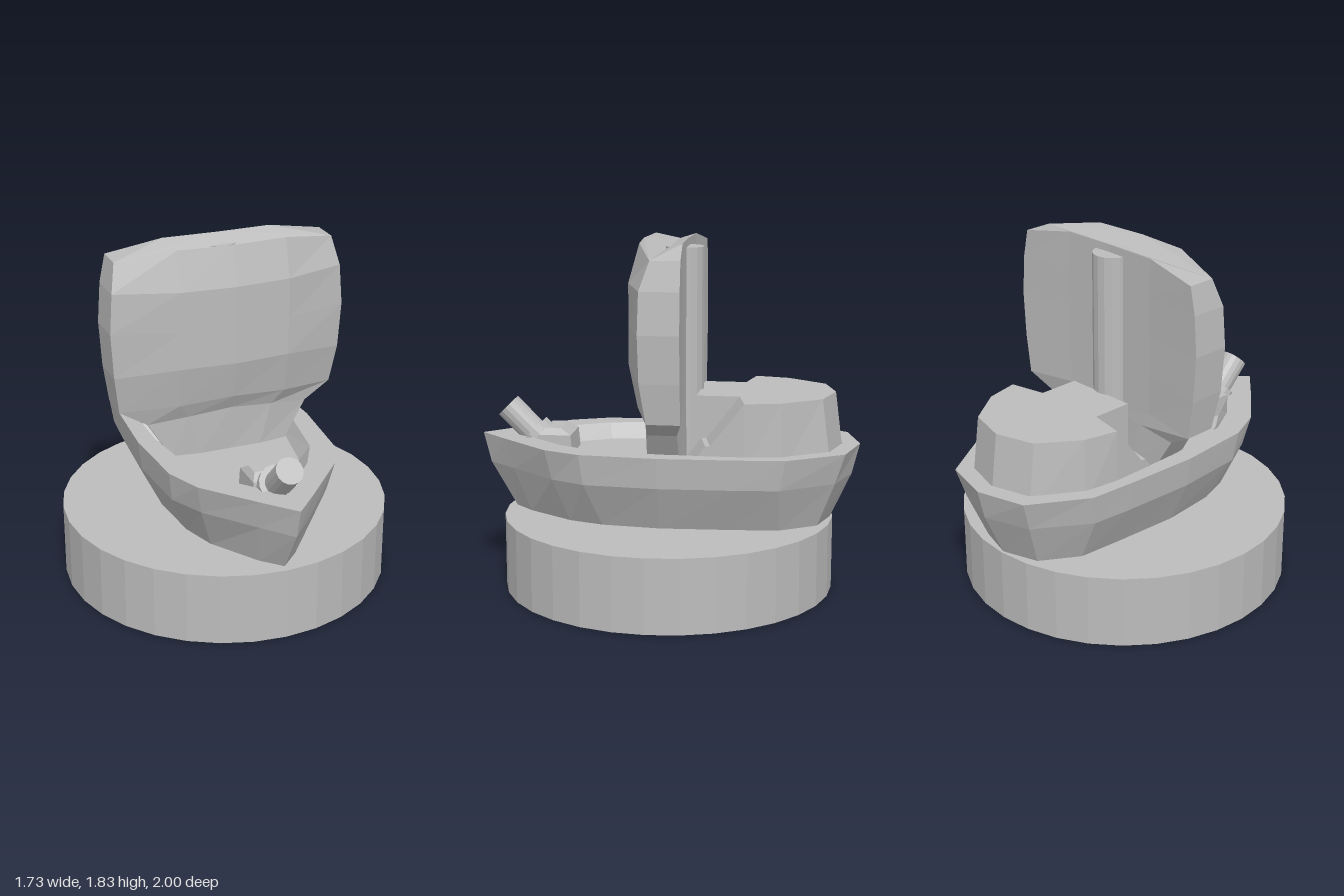
import * as THREE from 'three';

const grey = new THREE.MeshStandardMaterial({ color: 0xbcbcbc, flatShading: true });
grey.name = 'plain grey';

function add(group, name, geometry) {
  const mesh = new THREE.Mesh(geometry, grey);
  mesh.name = name;
  group.add(mesh);
  return mesh;
}

// Skin stacked rings of [x, y, z] (counter-clockwise from above) and cap both ends
function loft(rings) {
  const pos = [];
  const tri = (a, b, c) => pos.push(...a, ...b, ...c);
  for (let r = 0; r < rings.length - 1; r++) {
    const lo = rings[r], up = rings[r + 1];
    lo.forEach((p, i) => {
      const j = (i + 1) % lo.length;
      tri(p, lo[j], up[j]);
      tri(p, up[j], up[i]);
    });
  }
  const cap = (ring, up) => {
    const flat = ring.map(p => new THREE.Vector2(p[0], -p[2]));
    for (const [a, b, c] of THREE.ShapeUtils.triangulateShape(flat, [])) {
      const ccw = THREE.ShapeUtils.area([flat[a], flat[b], flat[c]]) > 0;
      if (ccw === up) tri(ring[a], ring[b], ring[c]);
      else tri(ring[a], ring[c], ring[b]);
    }
  };
  cap(rings[0], false);
  cap(rings[rings.length - 1], true);
  const g = new THREE.BufferGeometry();
  g.setAttribute('position', new THREE.Float32BufferAttribute(pos, 3));
  g.computeVertexNormals();
  return g;
}

// Full ring from the left half of a plan outline, listed from bow to stern
function planRing(y, half) {
  const left = half.map(([x, z]) => [x, y, z]);
  const right = half.filter(p => p[0] > 0).reverse().map(([x, z]) => [-x, y, z]);
  return [...left, ...right];
}

export function createModel() {
  const model = new THREE.Group();
  model.name = 'boatOnBase';

  const base = add(model, 'roundBase', new THREE.CylinderGeometry(0.865, 0.865, 0.385, 32));
  base.position.y = 0.1925;

  // Hull: outside up to the rim, across it and down to the deck
  add(model, 'hull', loft([
    planRing(0.38, [[0, 0.82], [0.1, 0.72], [0.26, 0.48], [0.32, 0.3], [0.35, 0], [0.33, -0.35], [0.31, -0.6], [0.19, -0.79], [0, -0.85]]),
    planRing(0.62, [[0, 0.96], [0.13, 0.81], [0.34, 0.56], [0.43, 0.38], [0.46, 0], [0.44, -0.4], [0.42, -0.61], [0.24, -0.88], [0, -0.96]]),
    planRing(0.78, [[0, 1], [0.14, 0.85], [0.37, 0.59], [0.45, 0.4], [0.48, 0], [0.46, -0.4], [0.44, -0.64], [0.26, -0.93], [0, -1]]),
    planRing(0.78, [[0, 0.82], [0.1, 0.7], [0.24, 0.54], [0.33, 0.37], [0.385, 0], [0.39, -0.42], [0.36, -0.61], [0.21, -0.85], [0, -0.91]]),
    planRing(0.7, [[0, 0.76], [0.08, 0.66], [0.2, 0.5], [0.28, 0.35], [0.34, 0], [0.37, -0.4], [0.35, -0.6], [0.2, -0.83], [0, -0.89]]),
  ]));

  // Stern cabin with a narrower front block
  add(model, 'sternCabin', loft([
    planRing(0.7, [[0.2, -0.17], [0.2, -0.39], [0.39, -0.43], [0.365, -0.615], [0.215, -0.855], [0, -0.915]]),
    planRing(1.05, [[0.2, -0.17], [0.2, -0.39], [0.39, -0.43], [0.35, -0.61], [0.21, -0.81], [0, -0.87]]),
  ]));

  // Sloped ramps with a small step on both sides of the front block
  const rampRows = [[0.7, -0.14], [0.83, -0.235], [0.83, -0.26], [1.05, -0.43]];
  for (const side of [1, -1]) {
    const rings = rampRows.map(([y, z]) => {
      const ring = [[0.2, z + 0.04], [0.39, z], [0.39, -0.43], [0.2, -0.39]]
        .map(([x, pz]) => [x * side, y, pz]);
      return side > 0 ? ring : ring.reverse();
    });
    add(model, side > 0 ? 'leftRamp' : 'rightRamp', loft(rings));
  }

  // Sail rows: y centre, y mid, y edge, half width, mid x, front z centre, mid, edge, back edge z
  const sailRows = [
    [0.7, 0.7, 0.7, 0.32, 0.17, 0.09, 0.09, 0.07, -0.1],
    [0.94, 0.92, 0.89, 0.44, 0.23, 0.1, 0.09, 0.05, -0.1],
    [1.02, 1.0, 0.975, 0.585, 0.29, 0.14, 0.12, 0.035, -0.135],
    [1.22, 1.22, 1.18, 0.615, 0.29, 0.185, 0.165, 0.065, -0.135],
    [1.42, 1.42, 1.42, 0.63, 0.29, 0.185, 0.165, 0.07, -0.135],
    [1.63, 1.63, 1.63, 0.615, 0.29, 0.185, 0.165, 0.065, -0.135],
    [1.83, 1.83, 1.775, 0.585, 0.29, 0.128, 0.108, 0.015, -0.135],
  ];
  add(model, 'sail', loft(sailRows.map(([yc, ym, ye, w, m, zc, zm, ze, zb]) => [
    [-w, ye, ze], [-m, ym, zm], [0, yc, zc], [m, ym, zm], [w, ye, ze],
    [w, ye, zb], [m, ym, -0.108], [0, yc, -0.1], [-m, ym, -0.108], [-w, ye, zb],
  ])));

  const mast = add(model, 'mast', new THREE.CylinderGeometry(0.1, 0.1, 1.09, 16));
  mast.position.set(0, 1.245, -0.085);

  // Bow gun: tapered mount, collar and raised barrel
  const mountRing = (y, w, z0, z1) => [[-w, y, z1], [w, y, z1], [w, y, z0], [-w, y, z0]];
  add(model, 'gunMount', loft([
    mountRing(0.68, 0.115, 0.495, 0.7),
    mountRing(0.8, 0.112, 0.505, 0.68),
    mountRing(0.835, 0.09, 0.56, 0.64),
  ]));
  const gun = new THREE.Group();
  gun.name = 'bowGun';
  gun.position.set(0, 0.8, 0.73);
  gun.rotation.x = Math.PI / 4;
  add(gun, 'gunCollar', new THREE.CylinderGeometry(0.1, 0.1, 0.14, 16)).position.y = -0.07;
  add(gun, 'gunBarrel', new THREE.CylinderGeometry(0.07, 0.07, 0.24, 16)).position.y = 0.065;
  model.add(gun);

  return model;
}
